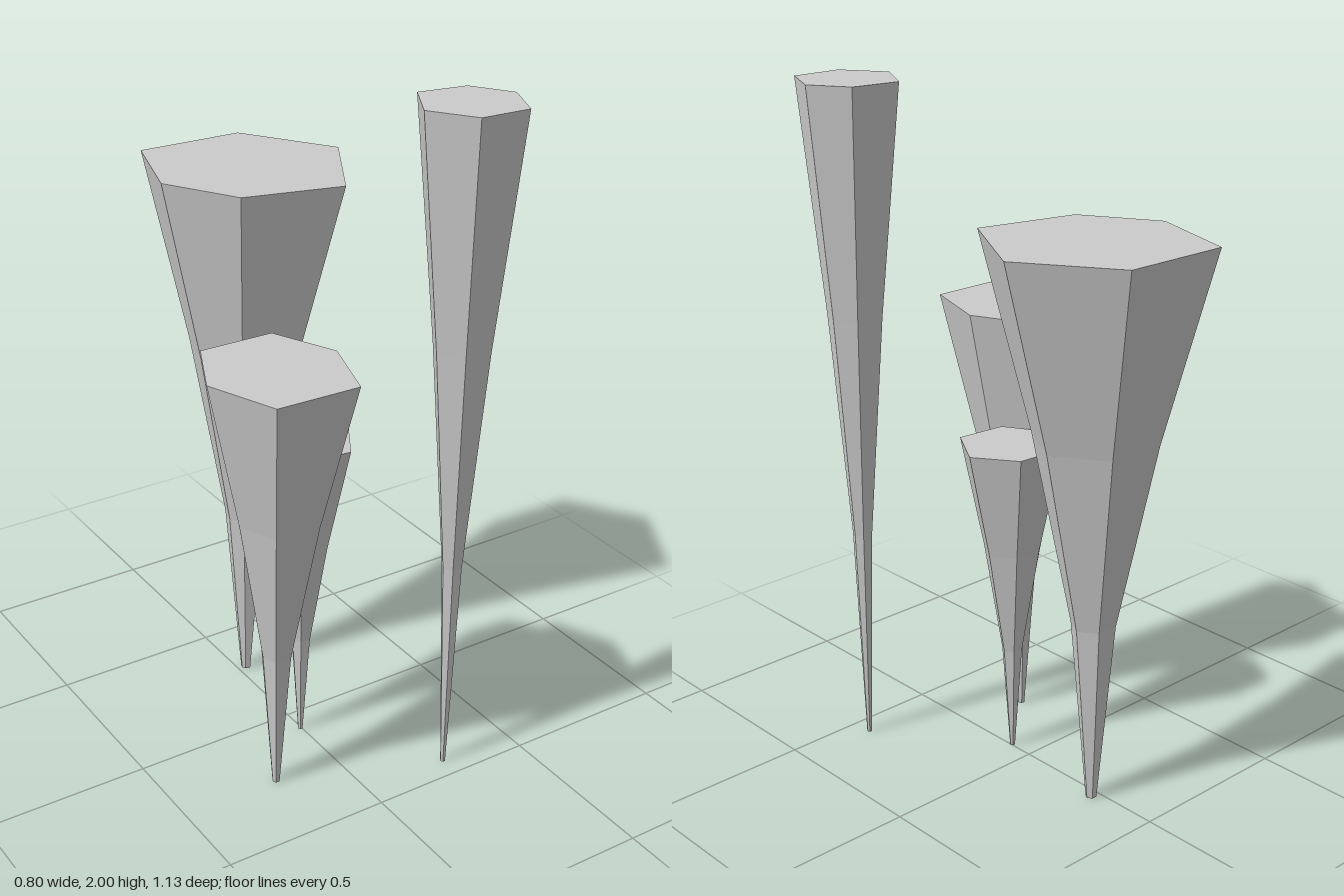
import * as THREE from 'three';

// Cross-section scale at equal height steps, from foot to crown
const TAPER = [0.05, 0.2, 0.55, 1];

// Each column: foot centre [x, z], height and the uneven hexagon of its crown [x, z]
const COLUMNS = [
  { name: 'broadBackColumn', centre: [0.026, -0.291], height: 1.66,
    crown: [[-0.136, -0.567], [0.18, -0.558], [0.355, -0.291], [0.19, -0.006], [-0.097, -0.079], [-0.222, -0.291]] },
  { name: 'tallLeftColumn', centre: [0.264, 0.435], height: 2,
    crown: [[0.19, 0.302], [0.33, 0.325], [0.4, 0.435], [0.342, 0.563], [0.197, 0.556], [0.115, 0.435]] },
  { name: 'middleRightColumn', centre: [-0.2, 0.252], height: 1.32,
    crown: [[-0.31, 0.06], [-0.091, 0.063], [-0.006, 0.252], [-0.076, 0.466], [-0.322, 0.46], [-0.402, 0.252]] },
  { name: 'shortCentreColumn', centre: [-0.004, 0.077], height: 0.98,
    crown: [[-0.081, -0.051], [0.07, -0.043], [0.154, 0.077], [0.071, 0.213], [-0.075, 0.197], [-0.144, 0.077]] },
];

// Lofts the crown outline down to the foot and closes both ends
function columnGeometry({ centre: [cx, cz], height, crown }) {
  const n = crown.length;
  const last = TAPER.length - 1;
  const rings = TAPER.map((s, level) => crown.map(([x, z]) =>
    [(x - cx) * s, height * level / last, (z - cz) * s]));
  const positions = [];
  const tri = (a, b, c) => positions.push(...a, ...b, ...c);

  // Facets
  for (let level = 0; level < last; level++) {
    const low = rings[level], high = rings[level + 1];
    for (let i = 0; i < n; i++) {
      const j = (i + 1) % n;
      tri(low[j], low[i], high[i]);
      tri(low[j], high[i], high[j]);
    }
  }
  // Foot and crown caps
  const foot = rings[0], top = rings[last];
  for (let i = 1; i < n - 1; i++) {
    tri(foot[0], foot[i], foot[i + 1]);
    tri(top[0], top[i + 1], top[i]);
  }

  const geometry = new THREE.BufferGeometry();
  geometry.setAttribute('position', new THREE.Float32BufferAttribute(positions, 3));
  geometry.computeVertexNormals();
  return geometry;
}

export function createModel() {
  const group = new THREE.Group();
  group.name = 'taperedColumns';
  const material = new THREE.MeshStandardMaterial({ color: 0xcccccc, flatShading: true });
  for (const column of COLUMNS) {
    const mesh = new THREE.Mesh(columnGeometry(column), material);
    mesh.name = column.name;
    mesh.position.set(column.centre[0], 0, column.centre[1]);
    group.add(mesh);
  }
  return group;
}
